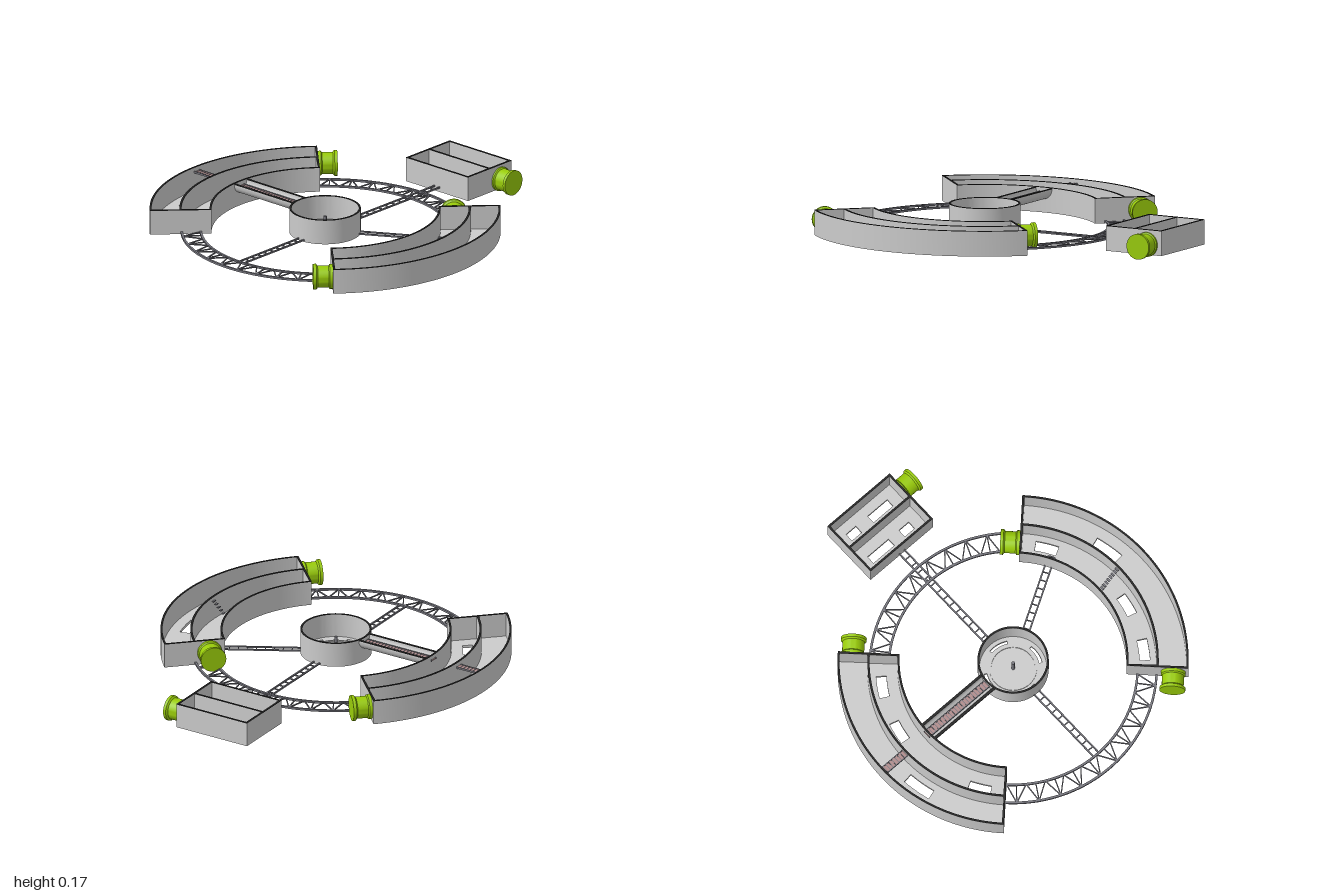
import * as THREE from 'three';
import { toCreasedNormals } from 'three/addons/utils/BufferGeometryUtils.js';

const mat = (color) => new THREE.MeshStandardMaterial({ color, side: THREE.DoubleSide });
const GREY = mat(0xcccccc), DARK = mat(0x222222), STEEL = mat(0x77777f);
const GREEN = mat(0x99cc0a), PINK = mat(0xb08c8c);
const D = Math.PI / 180;

function add(parent, name, geo, material, x = 0, y = 0, z = 0) {
  const m = new THREE.Mesh(geo, material);
  m.name = name;
  m.position.set(x, y, z);
  parent.add(m);
  return m;
}

// Plan outlines: shape x is model x, shape y is model -z
function sector(r0, r1, a0, a1) {
  const s = new THREE.Shape();
  s.absarc(0, 0, r1, a0 * D, a1 * D, false);
  s.absarc(0, 0, r0, a1 * D, a0 * D, true);
  s.closePath();
  return s;
}
function disc(r) {
  return new THREE.Shape().absarc(0, 0, r, 0, Math.PI * 2, false);
}
function rect(x0, x1, z0, z1) {
  return new THREE.Shape([[x0, -z0], [x0, -z1], [x1, -z1], [x1, -z0]].map((p) => new THREE.Vector2(...p)));
}
function slab(outline, holes, y0, y1) {
  const s = outline.clone();
  s.holes = holes;
  const g = new THREE.ExtrudeGeometry(s, { depth: y1 - y0, bevelEnabled: false, curveSegments: 48 });
  g.rotateX(-Math.PI / 2).translate(0, y0, 0);
  return toCreasedNormals(g, 0.5);
}

// Open-topped compartment block: walls, dark rim, floor and framed windows
function tray(parent, outline, rooms, windows, frames, y0, y1) {
  add(parent, 'walls', slab(outline, rooms, y0, y1 - 0.003), GREY);
  add(parent, 'wallRim', slab(outline, rooms, y1 - 0.003, y1), DARK);
  add(parent, 'floor', slab(outline, windows, y0, y0 + 0.005), GREY);
  frames.forEach((f, i) => add(parent, 'windowFrame', slab(f, [windows[i]], y0 - 0.01, y0 + 0.002), GREY));
}

// Flanged docking drum pointing along local +z
function dock(parent, x, y, z, turn) {
  const pts = [[0, 0], [0.066, 0], [0.066, 0.016], [0.059, 0.022], [0.059, 0.08], [0.069, 0.088], [0.069, 0.104], [0, 0.104]];
  const g = new THREE.LatheGeometry(pts.map((p) => new THREE.Vector2(...p)), 40).rotateX(Math.PI / 2);
  add(parent, 'dockingDrum', toCreasedNormals(g, 0.5), GREEN, x, y, z).rotation.y = turn;
}

// Thin square bar between two plan points
function bar(parent, a, b, y, t = 0.006) {
  const dx = b[0] - a[0], dz = b[1] - a[1];
  const m = add(parent, 'strut', new THREE.BoxGeometry(Math.hypot(dx, dz), t, t), STEEL, (a[0] + b[0]) / 2, y, (a[1] + b[1]) / 2);
  m.rotation.y = -Math.atan2(dz, dx);
}

function curvedModule() {
  const g = new THREE.Group();
  const rooms = [sector(0.615, 0.765, 45.9, 134.1), sector(0.776, 0.925, 45.7, 134.3)];
  const spec = [[0.704, 0.027, 56.6, 4.9], [0.704, 0.027, 78.6, 4.9], [0.704, 0.027, 123.4, 4.9], [0.838, 0.027, 101.3, 5.4]];
  const win = (grow) => spec.map(([r, h, a, w]) => sector(r - h - grow, r + h + grow, a - w - grow * 70, a + w + grow * 70));
  tray(g, sector(0.605, 0.935, 45, 135), rooms, win(0), win(0.007), 0.03, 0.167);
  dock(g, 0.855 * Math.SQRT1_2, 0.098, -0.855 * Math.SQRT1_2, Math.PI / 4);
  return g;
}

function ladder(parent, z0, z1, y) {
  const g = new THREE.Group();
  g.name = 'ladder';
  parent.add(g);
  add(g, 'ladderBed', new THREE.BoxGeometry(0.04, 0.004, z1 - z0), PINK, 0, y, (z0 + z1) / 2);
  for (const s of [-1, 1]) add(g, 'ladderRail', new THREE.BoxGeometry(0.005, 0.01, z1 - z0), STEEL, s * 0.02, y, (z0 + z1) / 2);
  for (let z = z0 + 0.01; z < z1; z += 0.02) add(g, 'ladderRung', new THREE.BoxGeometry(0.04, 0.008, 0.004), STEEL, 0, y, z);
}

function spoke(parent, angle, r0, r1) {
  const g = new THREE.Group();
  g.name = 'spokeTruss';
  g.rotation.y = angle;
  parent.add(g);
  for (const z of [-0.018, 0.018]) bar(g, [r0, z], [r1, z], 0.04, 0.008);
  const n = Math.round((r1 - r0) / 0.05);
  for (let i = 0; i <= n; i++) {
    const x = r0 + ((r1 - r0) * i) / n;
    bar(g, [x, -0.018], [x, 0.018], 0.04);
  }
}

export function createModel() {
  const model = new THREE.Group();
  model.name = 'ringStation';
  const ring = new THREE.Group();
  ring.name = 'ringAssembly';
  ring.position.x = -0.23;
  model.add(ring);

  // Two curved modules, back and front
  for (const [name, turn] of [['backModule', 0], ['frontModule', Math.PI]]) {
    const m = curvedModule();
    m.name = name;
    m.rotation.y = turn;
    ring.add(m);
  }
  dock(ring, 0.69 * Math.SQRT1_2, 0.098, 0.69 * Math.SQRT1_2, Math.PI * 0.75);

  // Lattice ring on both sides
  const at = (r, a) => [r * Math.cos(a * D), r * Math.sin(a * D)];
  for (const side of [0, 180]) {
    const g = new THREE.Group();
    g.name = 'ringTruss';
    ring.add(g);
    for (const r of [0.663, 0.765]) {
      add(g, 'ringRail', slab(sector(r - 0.006, r + 0.006, side - 45.2, side + 45.2), [], 0.034, 0.045), STEEL);
    }
    const n = 20;
    for (let i = 0; i < n; i++) {
      const a = side - 45 + (90 * i) / n, b = a + 90 / n;
      bar(g, at(i % 2 ? 0.765 : 0.663, a), at(i % 2 ? 0.663 : 0.765, b), 0.04);
      if (i % 2) bar(g, at(0.663, a), at(0.765, a), 0.04);
    }
  }
  spoke(ring, Math.PI, 0.185, 0.663);
  spoke(ring, 0, 0.185, 0.89);
  spoke(ring, -60 * D, 0.185, 0.663);

  // Round hub with curved floor slots
  const hub = new THREE.Group();
  hub.name = 'hub';
  ring.add(hub);
  const slots = (grow) => [80, 170, 260, 350].map((a) => sector(0.142 - grow, 0.158 + grow, a - 20 - grow * 300, a + 20 + grow * 300));
  tray(hub, disc(0.19), [disc(0.18)], slots(0), slots(0.005), 0.03, 0.167);
  add(hub, 'hubFloorRing', slab(disc(0.127), [disc(0.117)], 0.018, 0.041), GREY);
  add(hub, 'hubLowerDisc', new THREE.CylinderGeometry(0.1, 0.1, 0.01, 48), GREY, 0, 0.026, 0);
  add(hub, 'hubPost', new THREE.CylinderGeometry(0.009, 0.009, 0.085, 16), STEEL, 0, 0.077, 0);

  // Half-round corridor from the hub to the back module
  const trough = new THREE.Shape();
  trough.absarc(0, 0, 0.057, Math.PI, Math.PI * 2, false);
  trough.absarc(0, 0, 0.043, Math.PI * 2, Math.PI, true);
  trough.closePath();
  const pipe = new THREE.ExtrudeGeometry(trough, { depth: 0.43, bevelEnabled: false, curveSegments: 24 });
  add(ring, 'corridor', toCreasedNormals(pipe, 0.5), GREY, 0, 0.16, -0.61);
  for (const s of [-1, 1]) add(ring, 'corridorRim', new THREE.BoxGeometry(0.014, 0.003, 0.43), DARK, s * 0.05, 0.161, -0.395);
  ladder(ring, -0.62, -0.18, 0.14);
  ladder(ring, -0.925, -0.775, 0.14);

  // Small steep stair in the front module
  for (let i = 0; i < 8; i++) {
    add(ring, 'stairStep', new THREE.BoxGeometry(0.022, 0.005, 0.012), STEEL, 0.018, 0.045 + i * 0.014, 0.655 + i * 0.015);
  }

  // Rectangular side module
  const box = new THREE.Group();
  box.name = 'sideModule';
  model.add(box);
  const spec = [[0.715, 0.763, -0.15, 0], [0.715, 0.763, 0.075, 0.145], [0.886, 0.934, -0.15, -0.08], [0.886, 0.934, 0.005, 0.145]];
  const win = (e) => spec.map(([a, b, c, d]) => rect(a - e, b + e, c - e, d + e));
  tray(box, rect(0.656, 1, -0.224, 0.222), [rect(0.667, 0.827, -0.213, 0.211), rect(0.838, 0.989, -0.213, 0.211)], win(0), win(0.006), 0.014, 0.15);
  dock(box, 0.911, 0.07, 0.215, 0);
  return model;
}
